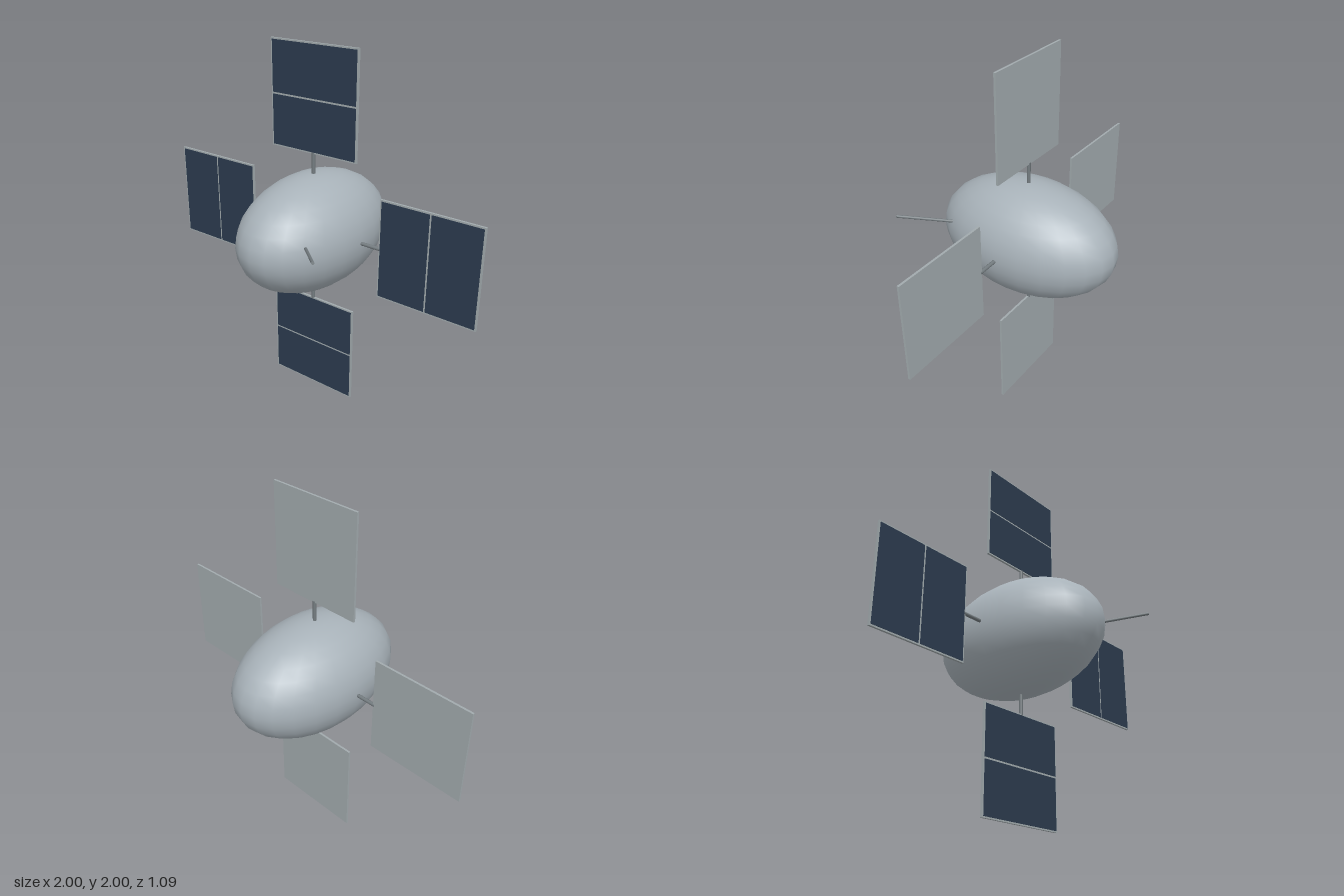
import * as THREE from 'three';

const mat = (name, color) => {
  const m = new THREE.MeshStandardMaterial({ color });
  m.name = name;
  return m;
};

export function createModel() {
  const hull = mat('hull grey', 0xa8b2b9);
  const frame = mat('panel frame grey', 0xa1aaad);
  const metal = mat('strut grey', 0x747c80);
  const cell = mat('solar cell navy', 0x2c3b4e);

  const model = new THREE.Group();
  model.name = 'satellite';
  const core = new THREE.Group();
  core.name = 'satelliteCore';
  core.position.set(0, 1, -0.02);
  model.add(core);

  const add = (parent, name, geometry, material, x = 0, y = 0, z = 0) => {
    const mesh = new THREE.Mesh(geometry, material);
    mesh.name = name;
    mesh.position.set(x, y, z);
    parent.add(mesh);
    return mesh;
  };

  // Elongated body, long axis front to back
  const bodyGeo = new THREE.SphereGeometry(1, 24, 16);
  bodyGeo.scale(0.32, 0.32, 0.523);
  add(core, 'body', bodyGeo, hull, 0, 0, -0.002);

  // Four solar wings, each built pointing up and turned about z
  const strutGeo = new THREE.CylinderGeometry(0.01, 0.01, 0.16, 10);
  const panelGeo = new THREE.BoxGeometry(0.55, 0.572, 0.012);
  const cellGeo = new THREE.BoxGeometry(0.533, 0.273, 0.004);
  ['topWing', 'rightWing', 'bottomWing', 'leftWing'].forEach((name, i) => {
    const wing = new THREE.Group();
    wing.name = name;
    wing.rotation.z = i * Math.PI / 2;
    add(wing, 'strut', strutGeo, metal, 0, 0.355, 0);
    add(wing, 'panelFrame', panelGeo, frame, 0, 0.714, 0);
    for (const s of [-1, 1]) add(wing, 'solarCells', cellGeo, cell, 0, 0.714 + s * 0.1415, 0.006);
    core.add(wing);
  });

  // Slanted antenna on the front left of the body
  const from = new THREE.Vector3(0.2, 1.065, 0.305);
  const to = new THREE.Vector3(0.43, 1.138, 0.535);
  const dir = to.clone().sub(from);
  const antenna = add(model, 'antenna', new THREE.CylinderGeometry(0.008, 0.008, dir.length(), 10), metal);
  antenna.position.copy(from).addScaledVector(dir, 0.5);
  antenna.quaternion.setFromUnitVectors(new THREE.Vector3(0, 1, 0), dir.normalize());

  return model;
}
